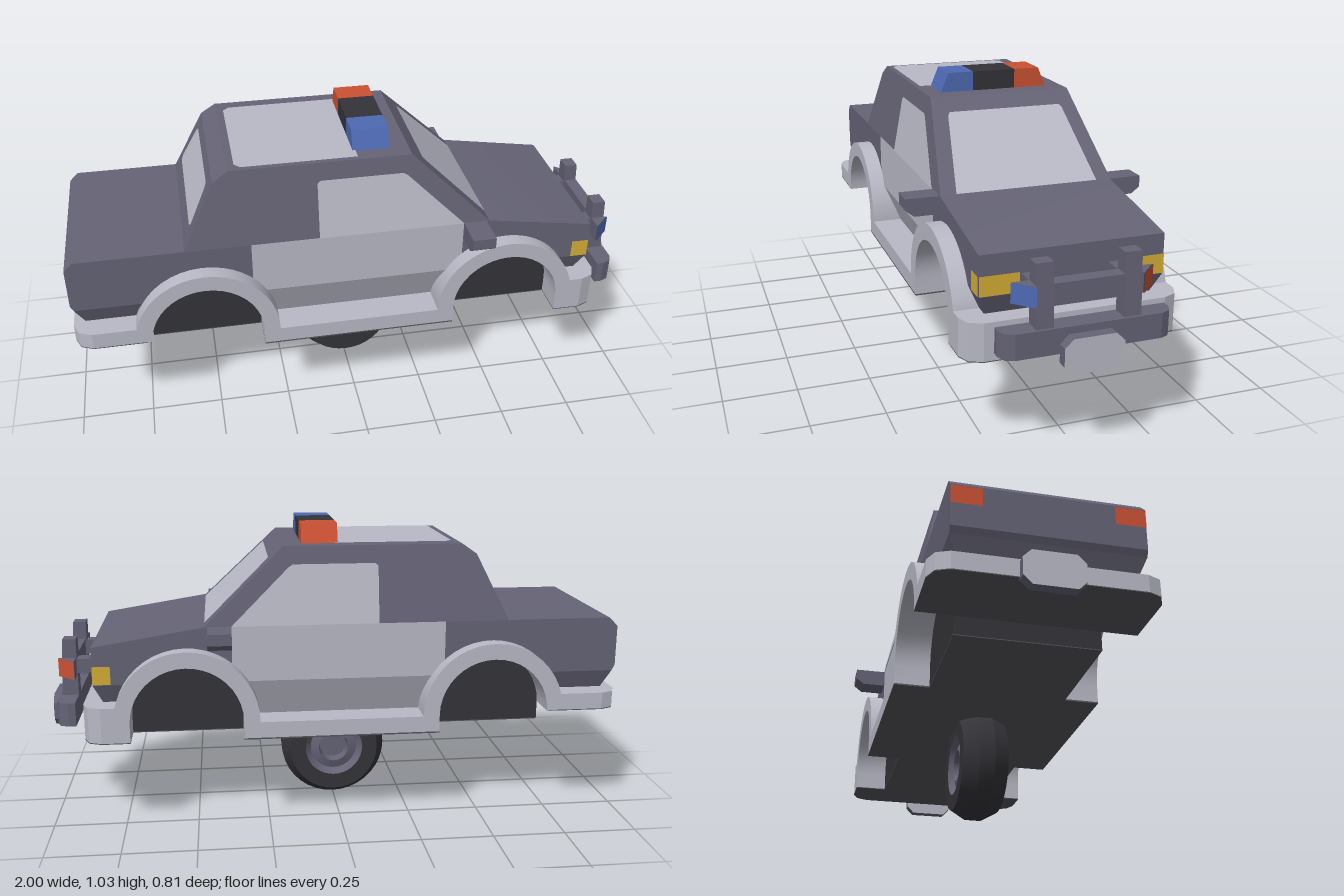
import * as THREE from 'three';
import { toCreasedNormals } from 'three/addons/utils/BufferGeometryUtils.js';

const mat = (name, color) => Object.assign(new THREE.MeshStandardMaterial({ color }), { name });

export function createModel() {
  const car = new THREE.Group();
  car.name = 'patrolCar';
  const dark = mat('slatePaint', 0x656375);
  const light = mat('paleGrey', 0xb8b9c5);
  const black = mat('black', 0x343338);
  const charcoal = mat('charcoal', 0x54555b);
  const red = mat('red', 0xcb5134);
  const blue = mat('blue', 0x4d69b2);
  const yellow = mat('yellow', 0xd4ae36);

  const add = (name, geo, material) => {
    const m = new THREE.Mesh(geo, material);
    m.name = name;
    car.add(m);
    return m;
  };
  const box = (name, material, x0, x1, y0, y1, z0, z1) =>
    add(name, new THREE.BoxGeometry(x1 - x0, y1 - y0, z1 - z0)
      .translate((x0 + x1) / 2, (y0 + y1) / 2, (z0 + z1) / 2), material);
  // Moves vertices by a rule, then restores flat normals
  const warp = (geo, rule) => {
    const g = geo.index ? geo.toNonIndexed() : geo;
    const p = g.attributes.position, v = new THREE.Vector3();
    for (let i = 0; i < p.count; i++) {
      rule(v.fromBufferAttribute(p, i));
      p.setXYZ(i, v.x, v.y, v.z);
    }
    g.computeVertexNormals();
    return g;
  };
  const shapeOf = pts => new THREE.Shape(pts.map(p => new THREE.Vector2(p[0], p[1])));
  const extrude = (pts, depth) => new THREE.ExtrudeGeometry(shapeOf(pts), { depth, bevelEnabled: false });

  // Half width of the body at each height
  const halfZ = y => y > 0.71 ? 0.295 - (y - 0.71) * 0.19 : 0.295 - Math.max(0, 0.52 - y) * 0.4;
  const slab = (name, material, pts) => add(name, toCreasedNormals(
    warp(extrude(pts, 2).translate(0, 0, -1), v => { v.z = Math.sign(v.z) * halfZ(v.y); }), 0.4), material);

  // Arc around a wheel arch, going from angle a0 to a1
  const ARCH_X = 0.525, ARCH_Y = 0.395;
  const arc = (cx, r, a0, a1, n = 20) => Array.from({ length: n + 1 }, (_, i) => {
    const a = a0 + (a1 - a0) * i / n;
    return [cx + r * Math.cos(a), ARCH_Y + r * Math.sin(a)];
  });
  const cut = 0.22, aLow = Math.asin(0.125 / cut), aDoorR = Math.acos(0.165 / cut), aDoorF = Math.acos(0.155 / cut);

  // Upper body: tail, door section and nose
  slab('rearBody', dark, [[-0.36, 0.71], [-0.94, 0.71], [-0.97, 0.68], [-0.97, 0.54], [-0.96, 0.52],
    ...arc(-ARCH_X, cut, Math.PI - aLow, aDoorR)]);
  slab('doors', light, [[-0.36, 0.71], [-0.36, 0.54], [-0.344, 0.52], [0.344, 0.52], [0.37, 0.551], [0.37, 0.71]]);
  slab('frontBody', dark, [[0.37, 0.71], ...arc(ARCH_X, cut, Math.PI - aDoorF, aLow),
    [0.835, 0.52], [0.835, 0.65], [0.46, 0.71]]);

  // Lower body, leaning inwards
  slab('rearLowerBody', dark, [[-0.96, 0.52], [-0.925, 0.44], [-0.74, 0.44], [-0.706, 0.52]]);
  slab('lowerDoors', light, [[-0.344, 0.52], [-0.305, 0.38], [0.305, 0.38], [0.344, 0.52]]);
  slab('frontLowerBody', dark, [[0.706, 0.52], [0.74, 0.44], [0.8, 0.44], [0.835, 0.52]]);

  // Cabin
  slab('cabin', dark, [[-0.58, 0.71], [0.46, 0.71], [0.19, 0.97], [-0.42, 0.97], [-0.47, 0.935]]);

  // Flat convex panel lifted slightly off the surface and facing outwards
  const panel = (name, material, pts) => {
    const v = pts.map(p => new THREE.Vector3(...p));
    const n = v[1].clone().sub(v[0]).cross(v[2].clone().sub(v[0])).normalize();
    if (n.dot(v[0].clone().sub(new THREE.Vector3(0, 0.6, 0))) < 0) { v.reverse(); n.negate(); }
    v.forEach(p => p.addScaledVector(n, 0.003));
    const tris = [];
    for (let i = 1; i < v.length - 1; i++) tris.push(v[0], v[i], v[i + 1]);
    const g = new THREE.BufferGeometry().setFromPoints(tris);
    g.computeVertexNormals();
    add(name, g, material);
  };
  const screenX = y => 0.46 - (y - 0.71) * 0.27 / 0.26;
  const rearX = y => -0.58 + (y - 0.71) * 0.11 / 0.225;
  // Window given as half widths at rising heights
  const glass = (name, xAt, rows) => panel(name, light, [
    ...rows.map(([y, z]) => [xAt(y), y, z]), ...rows.map(([y, z]) => [xAt(y), y, -z]).reverse()]);
  glass('windshield', screenX, [[0.712, 0.242], [0.915, 0.203], [0.925, 0.195]]);
  glass('rearWindow', rearX, [[0.765, 0.225], [0.78, 0.235], [0.89, 0.205], [0.905, 0.19]]);
  const c = 0.02;
  panel('roofPanel', light, [[-0.395 + c, 0.97, 0.232], [0.01, 0.97, 0.232], [0.01, 0.97, -0.2],
    [-0.395 + c, 0.97, -0.2], [-0.395, 0.97, c - 0.2], [-0.395, 0.97, 0.232 - c]]);
  for (const s of [1, -1]) panel('sideWindow', light,
    [[-0.13, 0.71], [0.37, 0.71], [0.175, 0.9], [0.16, 0.91], [-0.12, 0.91], [-0.13, 0.9]]
      .map(([x, y]) => [x, y, s * halfZ(y)]));

  // Fenders and sills
  const fenderOutline = [
    [-0.77, 0.4], ...arc(-ARCH_X, 0.19, Math.PI, 0), [-0.335, 0.335], [0.335, 0.335],
    ...arc(ARCH_X, 0.19, Math.PI, 0), [0.715, 0.335], [0.77, 0.335], [0.77, 0.455],
    ...arc(ARCH_X, 0.245, 0.247, Math.PI), [0.28, 0.39], [-0.28, 0.39],
    ...arc(-ARCH_X, 0.245, 0, Math.PI - 0.247), [-0.77, 0.455]];
  for (const z of [0.23, -0.35])
    add('fenderAndSill', toCreasedNormals(extrude(fenderOutline, 0.12).translate(0, 0, z), 0.5), light);

  // Bumpers: plan outline with clipped outer corners
  const plan = (name, material, xIn, xOut, y0, y1, w, ch) => {
    const d = Math.sign(xOut - xIn) * ch;
    add(name, extrude([[xIn, -w], [xOut - d, -w], [xOut - d * 0.3, -w + ch * 0.3], [xOut, -w + ch],
      [xOut, w - ch], [xOut - d * 0.3, w - ch * 0.3], [xOut - d, w], [xIn, w]], y1 - y0)
      .rotateX(-Math.PI / 2).translate(0, y0, 0), material);
  };
  plan('frontBumper', light, 0.715, 0.87, 0.333, 0.455, 0.35, 0.06);
  plan('rearBumper', light, -0.715, -0.97, 0.398, 0.455, 0.35, 0.06);
  plan('frontUnderside', charcoal, 0.715, 0.87, 0.33, 0.333, 0.35, 0.06);
  plan('rearUnderside', charcoal, -0.715, -0.97, 0.395, 0.398, 0.35, 0.06);

  // Chassis, which also closes the wheel wells
  box('chassis', black, -0.715, 0.72, 0.333, 0.62, -0.232, 0.232);
  box('chassisUnderside', charcoal, -0.715, 0.715, 0.33, 0.333, -0.232, 0.232);
  for (const z of [-0.35, 0.232]) box('sillUnderside', charcoal, -0.335, 0.335, 0.33, 0.335, z, z + 0.118);

  // Push bar
  plan('pushBarLower', dark, 0.9, 0.965, 0.372, 0.453, 0.27, 0.04);
  box('pushBarCross', dark, 0.905, 0.95, 0.517, 0.585, -0.11, 0.11);
  for (const s of [1, -1]) {
    const side = (name, m, x0, x1, y0, y1, z0, z1) =>
      box(name, m, x0, x1, y0, y1, Math.min(s * z0, s * z1), Math.max(s * z0, s * z1));
    const post = side('pushBarUpright', dark, 0.9, 0.96, 0.38, 0.65, 0.11, 0.165);
    post.geometry = warp(post.geometry, v => { if (v.y > 0.6 && v.x > 0.93) v.x -= 0.015; });
    side('pushBarArm', dark, 0.8, 0.905, 0.53, 0.58, 0.112, 0.163);

    // Wedge lamp: slate housing with a coloured slanted lens
    const y0 = 0.522, y1 = 0.585, xf = 0.96, xb = 0.902, zi = s * 0.165, zo = s * 0.222;
    add('pushBarLampHousing', extrude([[xb, zi], [xf, zi], [xb, zo]], y1 - y0)
      .rotateX(Math.PI / 2).translate(0, y1, 0), dark);
    panel('pushBarLampLens', s > 0 ? blue : red, [[xf, y0, zi], [xb, y0, zo], [xb, y1, zo], [xf, y1, zi]]);

    // Headlight wrapping the nose corner, and tail light
    const zs = s * 0.295;
    panel('headlightFront', yellow, [[0.835, y0, s * 0.17], [0.835, y0, zs], [0.835, y1, zs], [0.835, y1, s * 0.17]]);
    panel('headlightSide', yellow, [[0.775, y0, zs], [0.835, y0, zs], [0.835, y1, zs], [0.775, y1, zs]]);
    panel('tailLight', red, [[-0.97, 0.615, s * 0.2], [-0.97, 0.615, zs], [-0.97, 0.675, zs], [-0.97, 0.675, s * 0.2]]);

    // Side mirror, clipped under its outer edge
    add('sideMirror', extrude([[-0.28, 0.65], [-0.378, 0.65], [-0.407, 0.672], [-0.407, 0.71], [-0.28, 0.71]]
      .map(([z, y]) => [s * z, y]), 0.08).rotateY(Math.PI / 2).translate(0.37, 0, 0), dark);
    // Roof lamp, leaning in at its outer end
    const lamp = side('roofLamp', s > 0 ? blue : red, 0, 0.125, 0.97, 1.035, 0.075, 0.19);
    lamp.geometry = warp(lamp.geometry, v => { if (Math.abs(v.z) > 0.1 && v.y > 1) v.z -= s * 0.027; });
  }
  box('roofLampCentre', black, 0, 0.125, 0.97, 1.035, -0.075, 0.075);

  // Blank end plates with clipped corners
  const endPlate = (name, x, y) => {
    const w = 0.094, h = 0.056, k = 0.027;
    add(name, extrude([[-w, k - h], [k - w, -h], [w - k, -h], [w, k - h], [w, h - k], [w - k, h], [k - w, h], [-w, h - k]], 0.036)
      .rotateY(Math.PI / 2).translate(x, y, 0), [light, dark]);
  };
  endPlate('frontPlate', 0.964, 0.374);
  endPlate('rearPlate', -1, 0.417);

  // Single wheel under the middle, with its hub on the back
  const lathe = (name, material, pts) => add(name, toCreasedNormals(
    new THREE.LatheGeometry(pts.map(p => new THREE.Vector2(p[0], p[1])), 36)
      .rotateX(Math.PI / 2).translate(0, 0.193, 0), 0.45), material);
  lathe('tire', black, [[0.105, -0.08], [0.16, -0.08], [0.19, -0.027], [0.19, 0.027], [0.16, 0.08], [0, 0.08]]);
  lathe('hub', dark, [[0, -0.03], [0.05, -0.03], [0.055, -0.07], [0.085, -0.06], [0.105, -0.08]]);

  return car;
}
